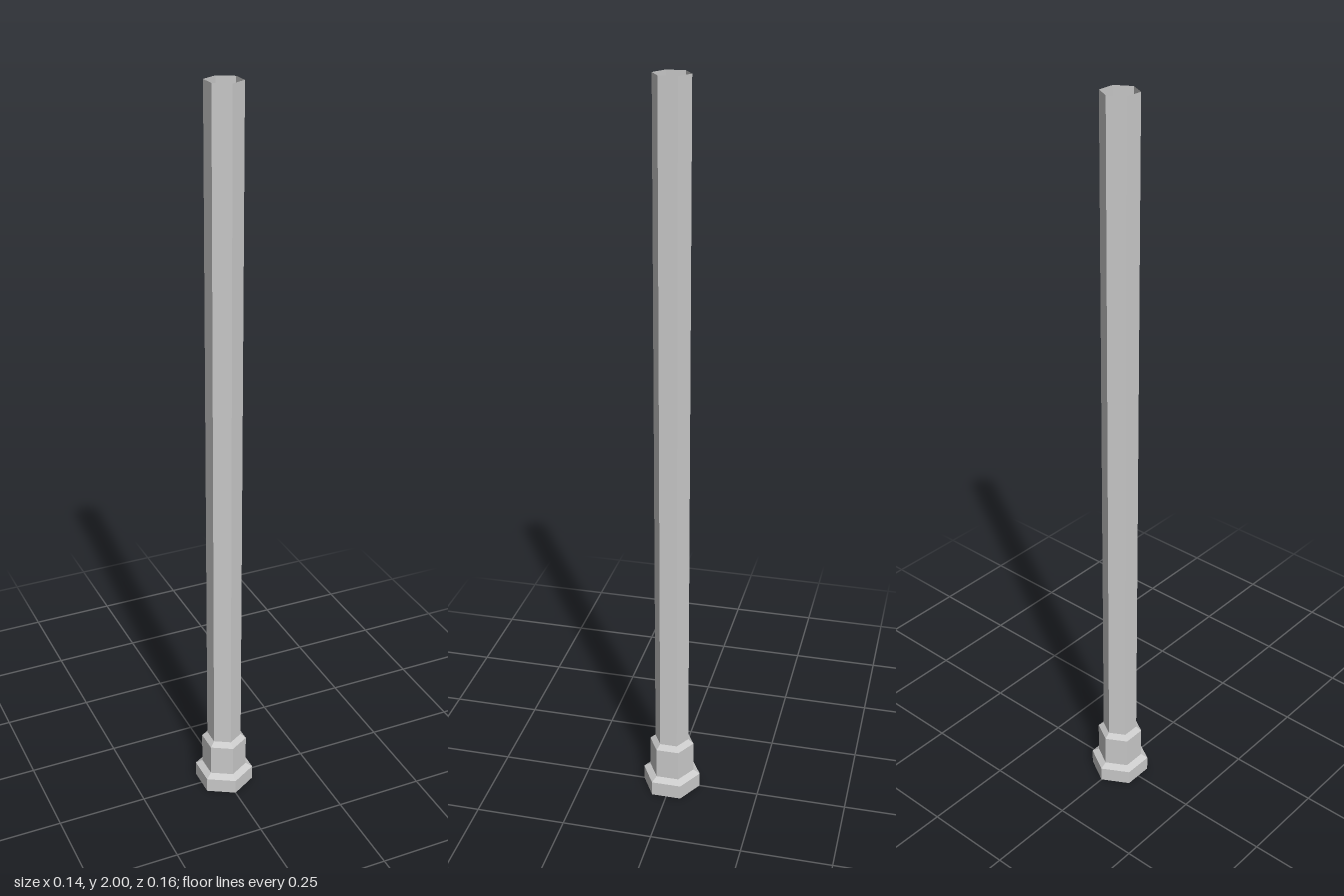
import * as THREE from 'three';

// Hexagonal hollow post: stepped foot, collar and long open shaft
export function createModel() {
  const group = new THREE.Group();
  const material = new THREE.MeshStandardMaterial({
    color: 0xcccccc, flatShading: true, side: THREE.DoubleSide,
  });
  const SIDES = 6;
  const FOOT = 0.082, COLLAR = 0.063, SHAFT = 0.048;

  // Six-sided shell from [radius, height] pairs, bottom to top, corners on the z axis
  function addShell(name, profile) {
    const points = profile.map(([r, y]) => new THREE.Vector2(r, y));
    const mesh = new THREE.Mesh(new THREE.LatheGeometry(points, SIDES), material);
    mesh.name = name;
    group.add(mesh);
  }

  // Closed underside, short wall and bevel
  addShell('foot', [[0, 0], [FOOT, 0], [FOOT, 0.042], [COLLAR, 0.053]]);
  // Collar with bevel up to the shaft
  addShell('collar', [[COLLAR, 0.053], [COLLAR, 0.143], [SHAFT, 0.156]]);
  // Long shaft, open at the top
  addShell('shaft', [[SHAFT, 0.156], [SHAFT, 2]]);

  return group;
}
